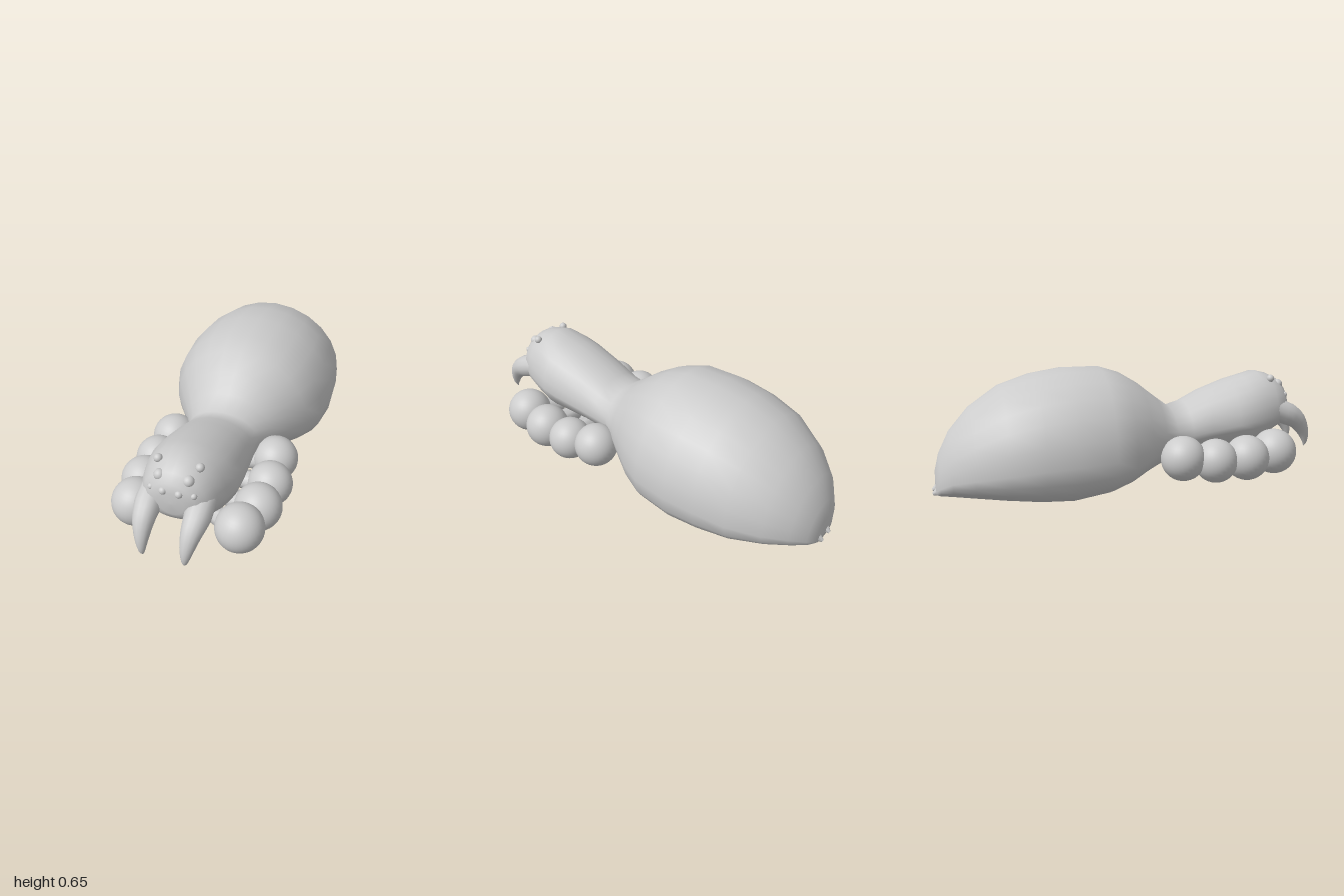
import * as THREE from 'three';

const material = new THREE.MeshStandardMaterial({ color: 0xcccccc });

// Skin a list of closed rings (arrays of Vector3) with smooth normals.
function loft(rings) {
  const n = rings[0].length, pos = [], idx = [];
  rings.forEach(r => r.forEach(p => pos.push(p.x, p.y, p.z)));
  for (let i = 0; i < rings.length - 1; i++) {
    for (let j = 0; j < n; j++) {
      const a = i * n + j, b = i * n + (j + 1) % n;
      idx.push(a, b, b + n, a, b + n, a + n);
    }
  }
  const g = new THREE.BufferGeometry();
  g.setAttribute('position', new THREE.Float32BufferAttribute(pos, 3));
  g.setIndex(idx);
  g.computeVertexNormals();
  return g;
}

function add(parent, name, geometry, x = 0, y = 0, z = 0) {
  const m = new THREE.Mesh(geometry, material);
  m.name = name;
  m.position.set(x, y, z);
  parent.add(m);
  return m;
}

// Cross-section: half width w, widest at height mid, between top and bottom.
function section([z, w, mid, top, bottom, power], sides = 24) {
  return Array.from({ length: sides }, (_, j) => {
    const a = j / sides * Math.PI * 2, c = Math.cos(a), s = Math.sin(a);
    const e = s < 0 ? 2 / power : 1;
    const x = w * Math.sign(c) * Math.abs(c) ** e;
    const y = s < 0 ? mid - (mid - bottom) * Math.abs(s) ** e : mid + (top - mid) * s;
    return new THREE.Vector3(x, y, z);
  });
}

// Tapered tube bending in the y-z plane; points are [x, y, z, radius].
function horn(points, steps = 14, sides = 14) {
  const path = new THREE.CatmullRomCurve3(points.map(p => new THREE.Vector3(p[0], p[1], p[2])));
  const rings = [];
  for (let i = 0; i <= steps; i++) {
    const t = i / steps, f = t * (points.length - 1);
    const k = Math.min(Math.floor(f), points.length - 2);
    const r = THREE.MathUtils.lerp(points[k][3], points[k + 1][3], f - k);
    const p = path.getPoint(t), d = path.getTangent(t);
    const len = Math.hypot(d.y, d.z);
    rings.push(Array.from({ length: sides }, (_, j) => {
      const a = j / sides * Math.PI * 2, s = r * Math.sin(a) / len;
      return new THREE.Vector3(p.x + r * Math.cos(a), p.y + d.z * s, p.z - d.y * s);
    }));
  }
  return loft(rings);
}

// Cylinder or cone running from a to b.
function strut(parent, name, a, b, ra, rb, sides) {
  const from = new THREE.Vector3(...a), to = new THREE.Vector3(...b);
  const dir = to.clone().sub(from);
  const mid = from.clone().add(to).multiplyScalar(0.5);
  const m = add(parent, name, new THREE.CylinderGeometry(rb, ra, dir.length(), sides), mid.x, mid.y, mid.z);
  m.quaternion.setFromUnitVectors(new THREE.Vector3(0, 1, 0), dir.normalize());
}

export function createModel() {
  const model = new THREE.Group();
  model.name = 'spiderBody';

  // Abdomen: z, half width, widest height, top, bottom, lower roundness
  const abdomen = [
    [-0.985, 0, 0.07, 0.07, 0.07, 2],
    [-0.985, 0.08, 0.08, 0.17, 0.05, 2],
    [-0.965, 0.14, 0.11, 0.25, 0.048, 2],
    [-0.91, 0.22, 0.15, 0.36, 0.046, 2],
    [-0.81, 0.305, 0.18, 0.475, 0.042, 2.2],
    [-0.66, 0.383, 0.21, 0.577, 0.03, 2.4],
    [-0.5, 0.412, 0.23, 0.63, 0.012, 2.5],
    [-0.34, 0.424, 0.24, 0.655, 0.004, 2.5],
    [-0.16, 0.408, 0.25, 0.655, 0.03, 2.5],
    [-0.05, 0.36, 0.26, 0.62, 0.06, 2.4],
    [0.05, 0.295, 0.27, 0.56, 0.1, 2.2],
    [0.14, 0.235, 0.28, 0.49, 0.125, 1.9],
  ];
  // Thorax and head carry straight on from the abdomen
  const thorax = [
    [0.22, 0.19, 0.29, 0.432, 0.14, 1.6],
    [0.3, 0.192, 0.3, 0.455, 0.135, 1.5],
    [0.4, 0.203, 0.32, 0.507, 0.135, 1.4],
    [0.55, 0.218, 0.345, 0.56, 0.135, 1.4],
    [0.63, 0.218, 0.36, 0.58, 0.14, 1.5],
    [0.71, 0.2, 0.375, 0.602, 0.2, 1.7],
    [0.78, 0.18, 0.39, 0.585, 0.27, 2],
    [0.83, 0.155, 0.4, 0.56, 0.3, 2.2],
    [0.865, 0.115, 0.41, 0.525, 0.33, 2.2],
    [0.875, 0.06, 0.42, 0.48, 0.36, 2],
    [0.877, 0, 0.42, 0.42, 0.42, 2],
  ];
  add(model, 'body', loft([...abdomen, ...thorax].map(s => section(s))));

  // Flat plate under the thorax
  const plate = new THREE.CylinderGeometry(0.1, 0.115, 0.05, 12);
  add(model, 'bellyPlate', plate, 0, 0.16, 0.43).scale.z = 2;

  // Eyes: x, y, z, radius
  const eyes = [[0.067, 0.53, 0.825, 0.026], [0.097, 0.566, 0.767, 0.02],
    [0.037, 0.482, 0.867, 0.018], [0.099, 0.476, 0.852, 0.015]];
  // Leg stumps: x, y, z, radius
  const stumps = [[0.257, 0.21, 0.718, 0.116], [0.29, 0.195, 0.55, 0.115],
    [0.295, 0.192, 0.378, 0.111], [0.272, 0.21, 0.212, 0.113]];

  for (const side of [1, -1]) {
    const label = side > 0 ? 'left' : 'right';

    eyes.forEach(([x, y, z, r], i) =>
      add(model, `${label}Eye${i + 1}`, new THREE.SphereGeometry(r, 16, 12), side * x, y, z));

    stumps.forEach(([x, y, z, r], i) => {
      add(model, `${label}LegBall${i + 1}`, new THREE.SphereGeometry(r, 32, 20), side * x, y, z);
      // Hip joint from the belly to the ball
      strut(model, `${label}Hip${i + 1}`, [side * 0.08, 0.19, 0.43 + (z - 0.43) * 0.75],
        [side * x, y - 0.01, z], 0.04, 0.06, 8);
    });

    // Curved fang
    add(model, `${label}Fang`, horn([
      [side * 0.115, 0.41, 0.77, 0.06], [side * 0.117, 0.375, 0.86, 0.062],
      [side * 0.113, 0.335, 0.925, 0.05], [side * 0.106, 0.27, 0.97, 0.032],
      [side * 0.101, 0.21, 0.987, 0.014], [side * 0.099, 0.185, 0.983, 0.001],
    ]));

    // Spinneret at the tail
    strut(model, `${label}Spinneret`, [side * 0.045, 0.095, -0.93], [side * 0.035, 0.06, -1], 0.045, 0.008, 8);
  }
  return model;
}
